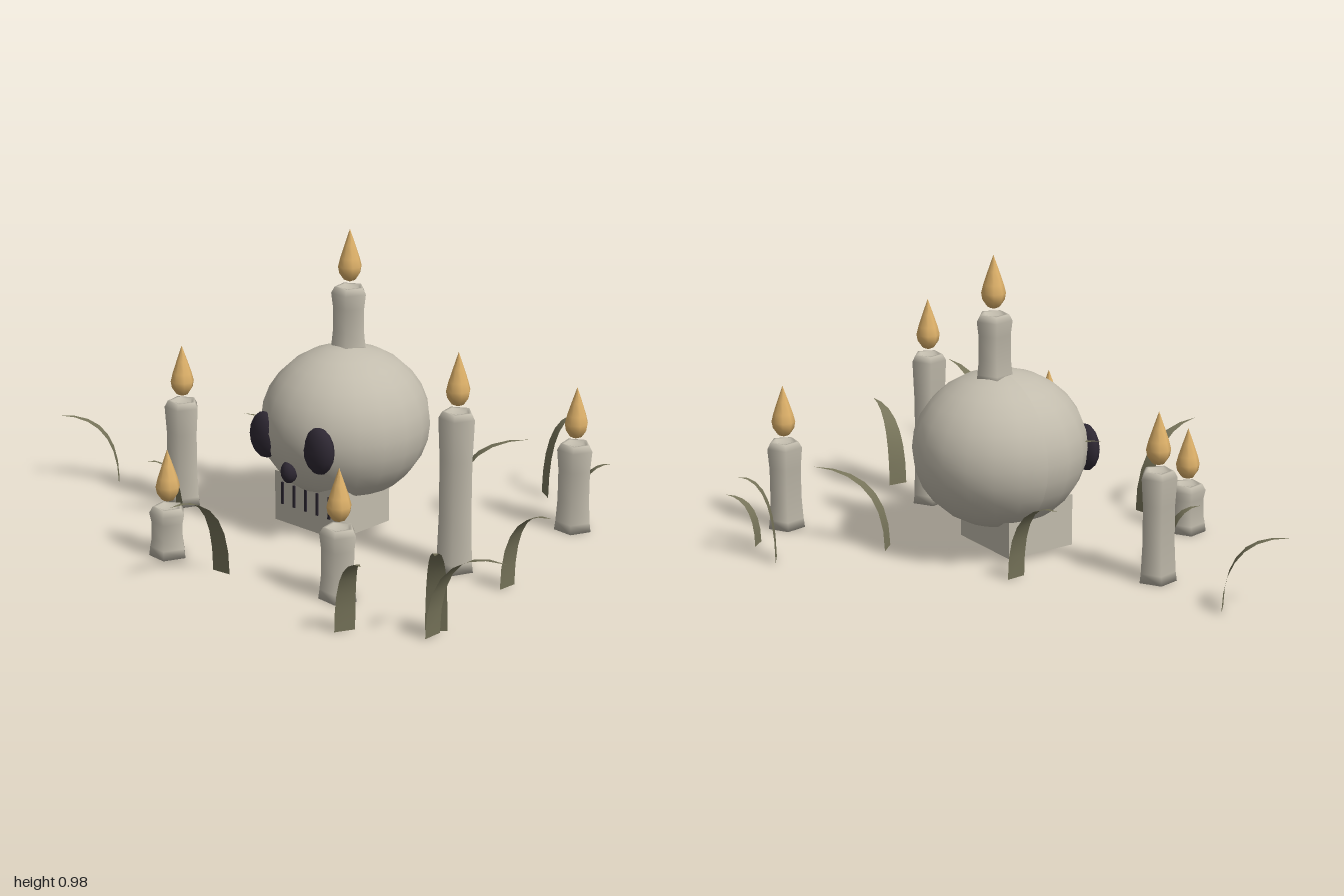
import * as THREE from 'three';

export function createModel() {
  const model = new THREE.Group();
  const mat = (name, color, extra = {}) => {
    const m = new THREE.MeshStandardMaterial({ color, ...extra });
    m.name = name;
    return m;
  };
  const bone = mat('bone and wax', 0xc2bcad);
  const dark = mat('dark hollow', 0x2e2833);
  const fire = mat('flame', 0xdfb26a);
  const leaf = mat('dry grass', 0x77745a, { side: THREE.DoubleSide });

  const add = (parent, name, geometry, material, x = 0, y = 0, z = 0) => {
    const mesh = new THREE.Mesh(geometry, material);
    mesh.name = name;
    mesh.position.set(x, y, z);
    parent.add(mesh);
    return mesh;
  };
  const lathe = (points, sides) =>
    new THREE.LatheGeometry(points.map(([r, y]) => new THREE.Vector2(r, y)), sides, Math.PI / 2);

  // Skull, turned slightly to its right
  const skull = new THREE.Group();
  skull.name = 'skull';
  skull.position.set(0.025, 0, -0.12);
  skull.rotation.y = -0.22;
  model.add(skull);

  // Cranium: an ellipsoid whose lower front is flattened above the jaw
  const cranium = new THREE.SphereGeometry(1, 20, 14);
  cranium.scale(0.27, 0.255, 0.287);
  cranium.translate(0, 0.347, 0);
  const p = cranium.attributes.position;
  for (let i = 0; i < p.count; i++) {
    if (p.getZ(i) > -0.05 && p.getY(i) < 0.14) p.setY(i, 0.14);
  }
  cranium.computeVertexNormals();
  add(skull, 'cranium', cranium, bone);
  add(skull, 'jaw', new THREE.BoxGeometry(0.28, 0.17, 0.245), bone, 0, 0.105, 0.062);

  // Eye sockets, nose hollow and tooth gaps
  const hollow = new THREE.SphereGeometry(1, 10, 8);
  for (const side of [-1, 1]) {
    const eye = add(skull, side > 0 ? 'leftEye' : 'rightEye', hollow, dark, side * 0.12, 0.333, 0.25);
    eye.scale.set(0.06, 0.078, 0.036);
  }
  add(skull, 'nose', hollow, dark, 0, 0.238, 0.262).scale.set(0.028, 0.038, 0.028);
  for (let i = -2; i <= 2; i++) {
    add(skull, 'toothGap', new THREE.BoxGeometry(0.009, 0.075, 0.008), dark, i * 0.052, 0.12, 0.186);
  }

  // Candles: x, base height, z, wax height
  const flame = lathe([[0, 0], [0.02, 0.008], [0.035, 0.03], [0.039, 0.052],
    [0.032, 0.08], [0.018, 0.122], [0, 0.174]], 8);
  const candles = [
    [-0.525, 0, 0.01, 0.36], [-0.3, 0, 0.43, 0.163], [0.345, 0, 0.46, 0.23],
    [0.537, 0, 0.07, 0.52], [0.7, 0, -0.44, 0.295], [0.022, 0.57, -0.15, 0.222],
  ];
  for (const [x, y, z, h] of candles) {
    const candle = new THREE.Group();
    candle.name = 'candle';
    candle.position.set(x, y, z);
    model.add(candle);
    add(candle, 'wax', lathe([[0, 0], [0.063, 0], [0.059, 0.03], [0.054, h * 0.35],
      [0.054, h * 0.7], [0.06, h - 0.02], [0.049, h], [0.038, h], [0.032, h - 0.012],
      [0, h - 0.012]], 5), bone);
    add(candle, 'flame', flame, fire, 0, h + 0.016, 0);
  }

  // Grass blade: rises from its base, bends over and narrows to a point
  const blade = (x0, z0, x1, z1, h, width = 0.066) => {
    const dx = x1 - x0, dz = z1 - z0, len = Math.hypot(dx, dz), steps = 7;
    const verts = [], index = [];
    for (let i = 0; i <= steps; i++) {
      const t = i / steps, b = t * t, w = (width / 2) * (1 - b);
      for (const s of [-1, 1]) {
        verts.push(x0 + dx * b - s * w * dz / len, h * (2 * t - b), z0 + dz * b + s * w * dx / len);
      }
      const k = i * 2;
      if (i < steps) index.push(k, k + 1, k + 2, k + 1, k + 3, k + 2);
    }
    const g = new THREE.BufferGeometry();
    g.setAttribute('position', new THREE.Float32BufferAttribute(verts, 3));
    g.setIndex(index);
    g.computeVertexNormals();
    return g;
  };
  // Base x, base z, tip x, tip z, height
  const blades = [
    [-0.835, -0.05, -1, 0.06, 0.24], [-0.475, 0.11, -0.54, 0.2, 0.2],
    [-0.075, 0.47, -0.1, 0.71, 0.285], [0.49, 0.67, 0.59, 0.75, 0.25],
    [0.72, 0.53, 0.78, 0.655, 0.29], [0.73, 0.57, 1, 0.63, 0.3],
    [0.745, 0.12, 0.91, 0.165, 0.27], [0.3, -0.36, 0.51, -0.485, 0.26],
    [0.48, -0.68, 0.56, -0.76, 0.28], [0.635, -0.62, 0.73, -0.67, 0.16, 0.055],
    [-0.19, -0.275, -0.39, -0.3, 0.27], [-0.02, -0.02, -0.245, 0.07, 0.38, 0.08],
  ];
  for (const b of blades) add(model, 'grassBlade', blade(...b), leaf);

  return model;
}
